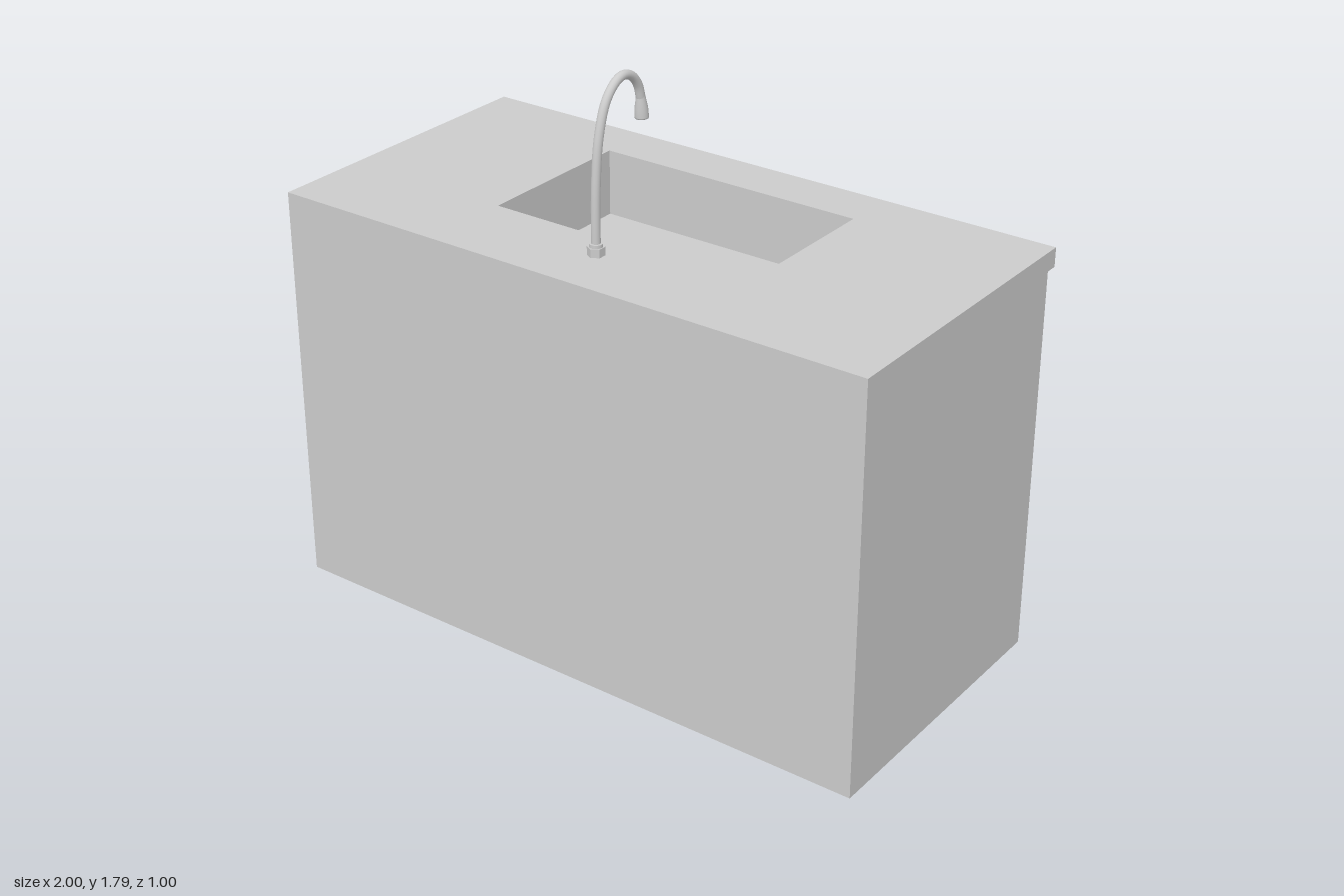
import * as THREE from 'three';

const material = new THREE.MeshStandardMaterial({ color: 0xcccccc, side: THREE.DoubleSide });

function add(parent, name, geometry, x = 0, y = 0, z = 0) {
  const mesh = new THREE.Mesh(geometry, material);
  mesh.name = name;
  mesh.position.set(x, y, z);
  parent.add(mesh);
  return mesh;
}

// Box given by its limits on each axis
function addBox(parent, name, [x0, x1], [y0, y1], [z0, z1]) {
  return add(parent, name, new THREE.BoxGeometry(x1 - x0, y1 - y0, z1 - z0),
    (x0 + x1) / 2, (y0 + y1) / 2, (z0 + z1) / 2);
}

function trace(path, [x0, x1, z0, z1]) {
  path.moveTo(x0, z0);
  path.lineTo(x1, z0);
  path.lineTo(x1, z1);
  path.lineTo(x0, z1);
  path.closePath();
  return path;
}

// Horizontal rectangular frame from y0 to y1; limits are [x0, x1, z0, z1]
function frame(outer, hole, y0, y1) {
  const shape = trace(new THREE.Shape(), outer);
  shape.holes.push(trace(new THREE.Path(), hole));
  const geometry = new THREE.ExtrudeGeometry(shape, { depth: y1 - y0, bevelEnabled: false });
  return geometry.rotateX(Math.PI / 2).translate(0, y1, 0);
}

// Bar handle on two posts, centred on its mounting point and standing out along -z
function addHandle(parent, x, y, z, vertical) {
  const handle = new THREE.Group();
  handle.name = 'handle';
  const half = 0.083, t = 0.017, reach = 0.038;
  addBox(handle, 'handleBar', [-half, half], [-t / 2, t / 2], [-reach, -reach + 0.02]);
  for (const s of [-1, 1]) {
    add(handle, 'handlePost', new THREE.BoxGeometry(t, t, reach - 0.01), s * (half - t / 2), 0, -(reach - 0.01) / 2);
  }
  handle.position.set(x, y, z);
  if (vertical) handle.rotation.z = Math.PI / 2;
  parent.add(handle);
}

export function createModel() {
  const model = new THREE.Group();
  model.name = 'sinkCabinet';
  const top = 1.29, under = 1.23, back = 0.5, face = -0.448, panelFace = -0.457;
  const sinkHole = [-0.44, 0.44, -0.32, 0.21];

  // Hollow carcass with its floor
  add(model, 'carcass', frame([-1, 1, face, back], [-0.98, 0.98, face + 0.02, back - 0.02], 0, under));
  addBox(model, 'carcassFloor', [-0.98, 0.98], [0, 0.02], [face + 0.02, back - 0.02]);

  // Countertop with the sink opening, and the basin below it
  add(model, 'countertop', frame([-1, 1, -0.487, back], sinkHole, under, top));
  add(model, 'basinWalls', frame([-0.45, 0.45, -0.33, 0.22], sinkHole, 1.08, under));
  addBox(model, 'basinFloor', [-0.45, 0.45], [1.07, 1.08], [-0.33, 0.22]);

  // Two columns, each with two drawers over a door
  for (const cx of [-0.5, 0.5]) {
    const width = [cx - 0.48, cx + 0.48], depth = [panelFace, face + 0.005];
    for (const [y0, y1, handleY] of [[0.945, 1.21, 1.17], [0.64, 0.9, 0.86]]) {
      addBox(model, 'drawerFront', width, [y0, y1], depth);
      addHandle(model, cx, handleY, panelFace, false);
    }
    addBox(model, 'door', width, [0.02, 0.59], depth);
    addHandle(model, cx - 0.41, 0.332, panelFace, true);
  }

  // Gooseneck faucet: hexagonal nut, bent pipe and flared nozzle
  const faucet = new THREE.Group();
  faucet.name = 'faucet';
  const nut = new THREE.CylinderGeometry(0.026, 0.026, 0.026, 6).toNonIndexed();
  nut.computeVertexNormals();
  add(faucet, 'faucetNut', nut, 0, top + 0.013, 0.313);
  add(faucet, 'faucetCollar', new THREE.CylinderGeometry(0.02, 0.02, 0.012, 24), 0, top + 0.03, 0.313);
  const path = new THREE.CatmullRomCurve3([
    [1.3, 0.313], [1.4, 0.313], [1.51, 0.309], [1.629, 0.295], [1.724, 0.262], [1.768, 0.218],
    [1.778, 0.182], [1.764, 0.145], [1.73, 0.117], [1.685, 0.104],
  ].map(([y, z]) => new THREE.Vector3(0, y, z)));
  add(faucet, 'faucetPipe', new THREE.TubeGeometry(path, 64, 0.0135, 16));
  const nozzle = new THREE.LatheGeometry([
    [0, 0], [0.02, 0], [0.02, 0.004], [0.019, 0.03], [0.0145, 0.056], [0.0135, 0.066],
  ].map(([r, y]) => new THREE.Vector2(r, y)), 24);
  add(faucet, 'faucetNozzle', nozzle, 0, 1.63, 0.1).rotation.x = 0.08;
  model.add(faucet);

  return model;
}
